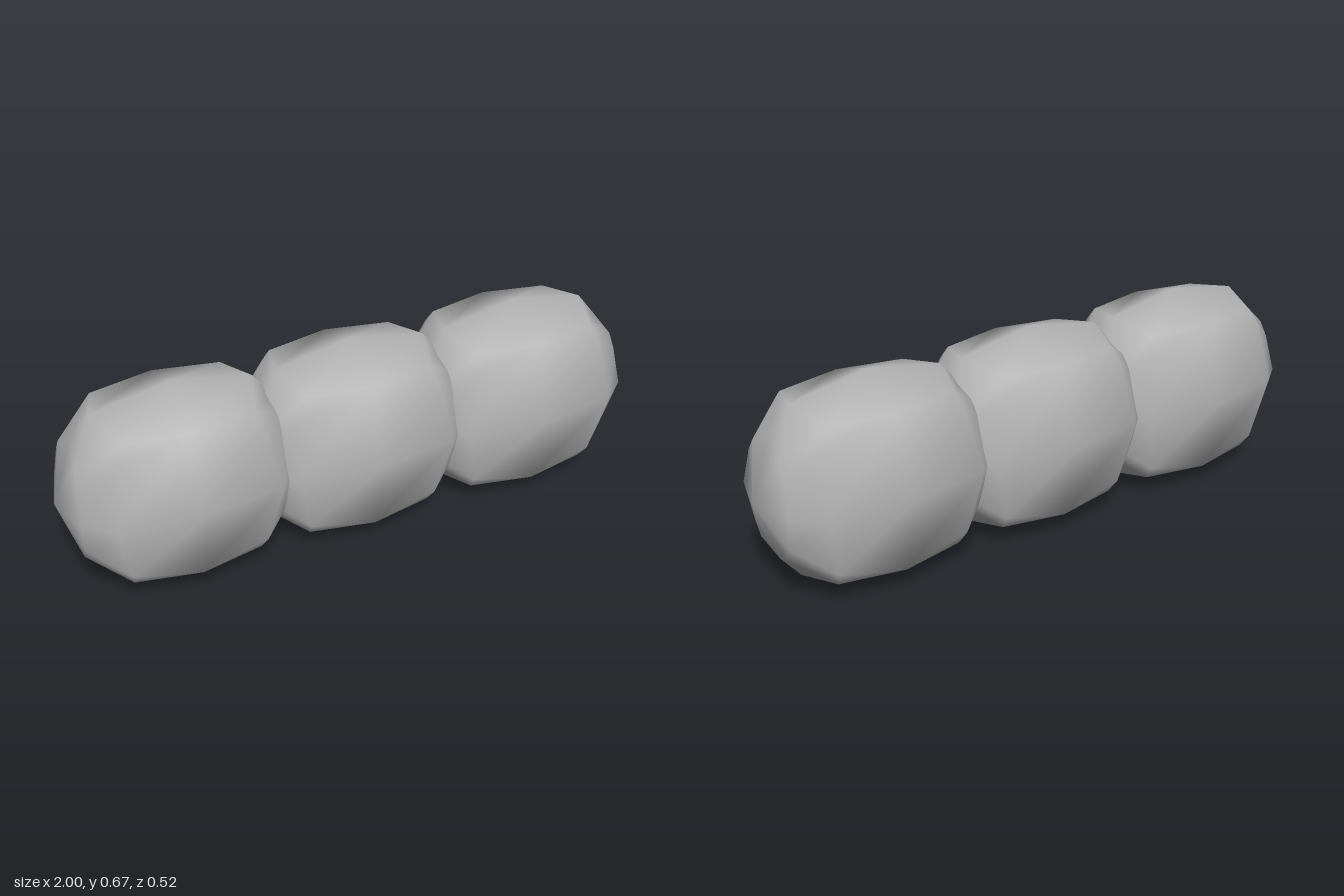
import * as THREE from 'three';
import { mergeVertices } from 'three/addons/utils/BufferGeometryUtils.js';

// One quadrant of each cross-section, from the top ridge to the front ridge: [x, y, z]
const SECTIONS = [
  [[0, 0.337, 0], [0, 0.265, 0.196], [0, 0.265, 0.196], [0, 0, 0.261]],
  [[0.262, 0.289, 0], [0.215, 0.262, 0.155], [0.225, 0.212, 0.19], [0.272, 0, 0.219]],
  [[0.326, 0.21, 0], [0.345, 0.165, 0.085], [0.347, 0.12, 0.115], [0.358, 0, 0.15]],
  [[0.4, 0, 0], [0.4, 0, 0], [0.4, 0, 0], [0.4, 0, 0]],
];

// Mirror a quadrant into a closed ring of 12 points
function ring(quadrant, side) {
  const [top, a, b, front] = quadrant;
  const at = (p, sy, sz) => new THREE.Vector3(p[0] * side, p[1] * sy, p[2] * sz);
  return [
    at(top, 1, 1), at(a, 1, 1), at(b, 1, 1), at(front, 1, 1),
    at(b, -1, 1), at(a, -1, 1), at(top, -1, 1), at(a, -1, -1),
    at(b, -1, -1), at(front, 1, -1), at(b, 1, -1), at(a, 1, -1),
  ];
}

// Skin the rings from end to end, dropping triangles that collapse
function lobeGeometry() {
  const rings = [
    ...SECTIONS.slice(1).reverse().map((s) => ring(s, -1)),
    ...SECTIONS.map((s) => ring(s, 1)),
  ];
  const positions = [];
  const tri = (a, b, c) => {
    const area = b.clone().sub(a).cross(c.clone().sub(a)).length();
    if (area > 1e-7) for (const p of [a, b, c]) positions.push(p.x + 0, p.y + 0, p.z + 0);
  };
  for (let i = 0; i < rings.length - 1; i++) {
    for (let j = 0; j < 12; j++) {
      const k = (j + 1) % 12;
      const a = rings[i][j], b = rings[i][k], c = rings[i + 1][k], d = rings[i + 1][j];
      tri(a, b, d);
      tri(b, c, d);
    }
  }
  const soup = new THREE.BufferGeometry();
  soup.setAttribute('position', new THREE.Float32BufferAttribute(positions, 3));
  const geometry = mergeVertices(soup, 1e-4);
  geometry.computeVertexNormals();
  return geometry;
}

export function createModel() {
  const group = new THREE.Group();
  group.name = 'lobedBar';
  const grey = new THREE.MeshStandardMaterial({ color: 0xb4b4b4 });
  grey.name = 'grey';

  // Three overlapping rounded lobes in a row
  const geometry = lobeGeometry();
  ['rightLobe', 'middleLobe', 'leftLobe'].forEach((name, i) => {
    const lobe = new THREE.Mesh(geometry, grey);
    lobe.name = name;
    lobe.position.set((i - 1) * 0.6, 0.337, 0);
    group.add(lobe);
  });
  return group;
}
